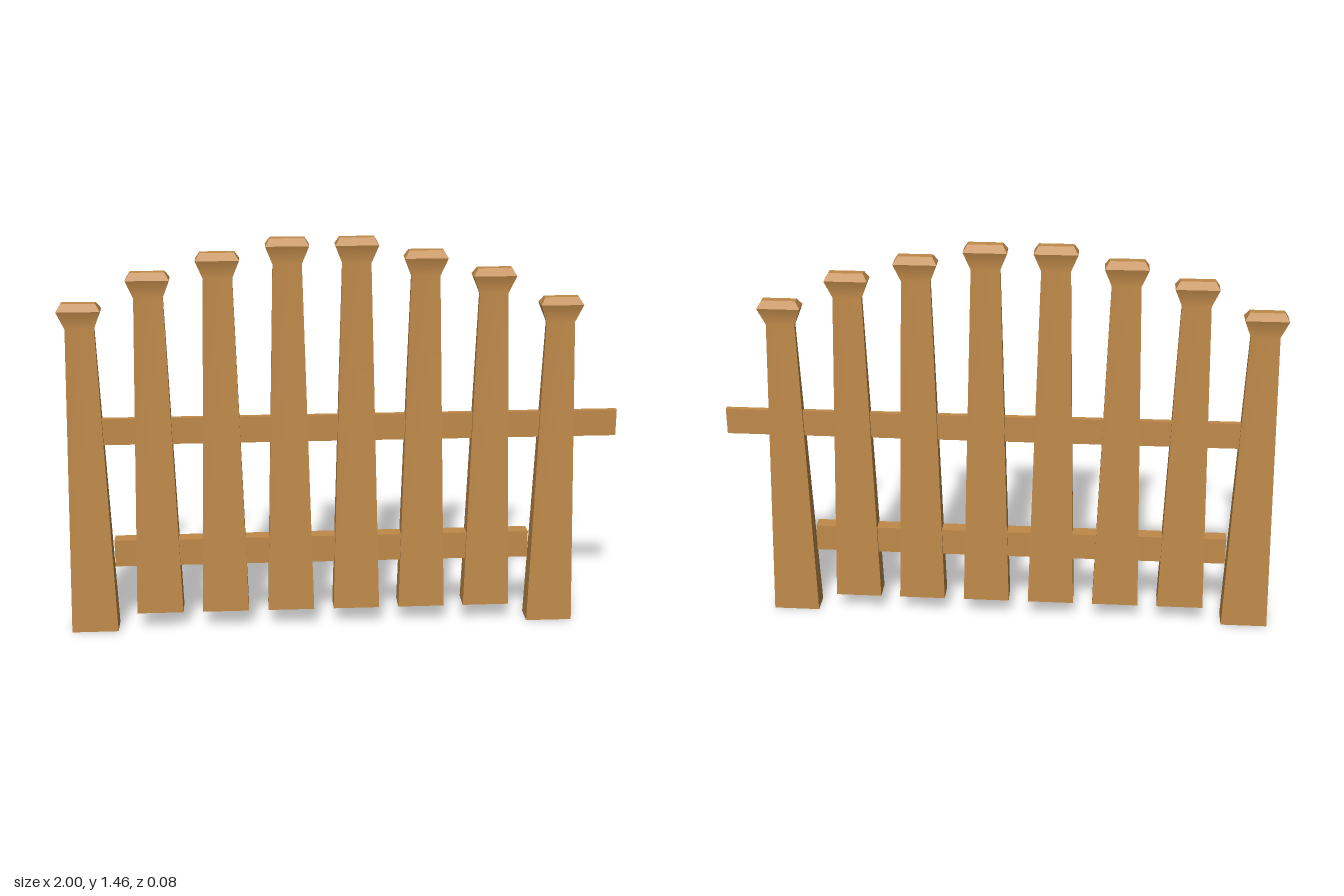
import * as THREE from 'three';

const wood = new THREE.MeshStandardMaterial({ color: 0xc08a4a });

// Rectangular loft through rings [y, halfWidth, halfDepth]; each strip is a list of rings
// whose faces blend smoothly upward, while corners and strip borders stay sharp.
function loft(strips) {
  const pos = [], idx = [];
  const corners = ([y, w, d]) => [[-w, y, d], [w, y, d], [w, y, -d], [-w, y, -d]];
  for (const strip of strips) {
    for (let side = 0; side < 4; side++) {
      const base = pos.length / 3;
      strip.forEach((ring, i) => {
        const c = corners(ring);
        pos.push(...c[side], ...c[(side + 1) % 4]);
        if (i > 0) {
          const a = base + 2 * (i - 1);
          idx.push(a, a + 1, a + 3, a, a + 3, a + 2);
        }
      });
    }
  }
  // End faces
  const first = strips[0][0], last = strips.at(-1).at(-1);
  let b = pos.length / 3;
  pos.push(...corners(last).flat());
  idx.push(b, b + 1, b + 2, b, b + 2, b + 3);
  b += 4;
  pos.push(...corners(first).flat());
  idx.push(b, b + 2, b + 1, b, b + 3, b + 2);
  const geo = new THREE.BufferGeometry();
  geo.setAttribute('position', new THREE.Float32BufferAttribute(pos, 3));
  geo.setIndex(idx);
  geo.computeVertexNormals();
  return geo;
}

// Tapered picket with a flared head and bevelled top
function picket(bottom, top) {
  const head = [top - 0.026, 0.076, 0.031];
  return new THREE.Mesh(loft([
    [[bottom, 0.085, 0.042], [top - 0.092, 0.051, 0.009], head],
    [head, [top, 0.06, 0.015]],
  ]), wood);
}

function rail(name, x0, x1, y0, y1, depth) {
  const mesh = new THREE.Mesh(new THREE.BoxGeometry(x1 - x0, y1 - y0, depth), wood);
  mesh.position.set((x0 + x1) / 2, (y0 + y1) / 2, 0);
  mesh.name = name;
  return mesh;
}

export function createModel() {
  const fence = new THREE.Group();
  fence.name = 'picketFence';

  // Pickets rise to an arch; the two end posts reach the ground
  const tops = [1.237, 1.344, 1.41, 1.458];
  for (let i = 0; i < 8; i++) {
    const k = Math.min(i, 7 - i);
    const mesh = picket(k === 0 ? 0 : 0.07, tops[k]);
    mesh.name = (k === 0 ? 'endPost' : 'picket') + (i + 1);
    mesh.position.x = -0.915 + i * 0.2421;
    fence.add(mesh);
  }

  // Cross rails
  fence.add(rail('upperRail', -0.855, 1, 0.718, 0.815, 0.02));
  fence.add(rail('lowerRail', -0.83, 0.69, 0.254, 0.355, 0.052));
  return fence;
}
